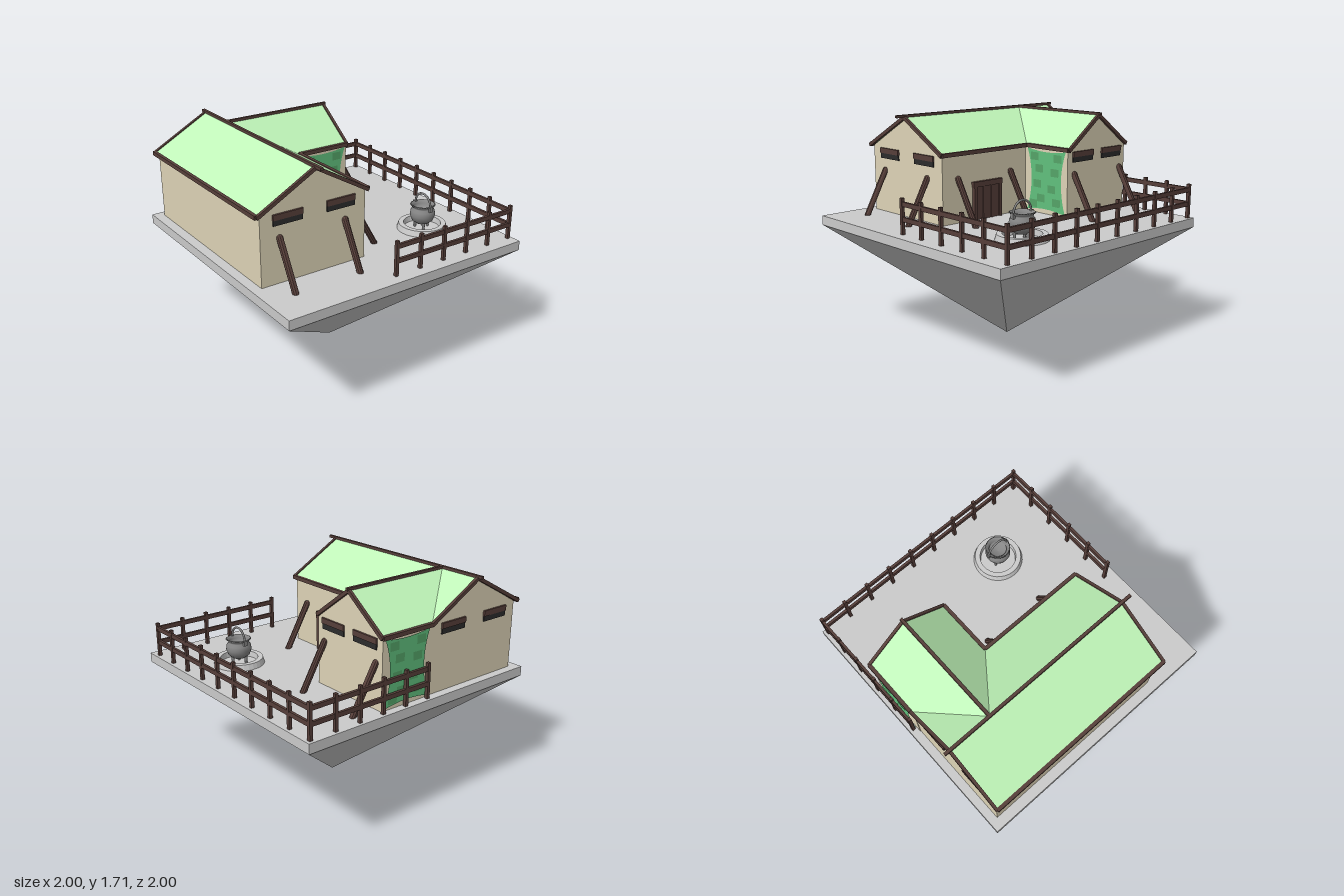
import * as THREE from 'three';

const mat = (color, double = false) => new THREE.MeshStandardMaterial({
  color, flatShading: true, side: double ? THREE.DoubleSide : THREE.FrontSide });
const stone = mat(0xcccccc), plaster = mat(0xded4b7), wood = mat(0x573f3a), dark = mat(0x2c2c2c);
const roofGreen = mat(0xbff5b8, true), cloth = mat(0x61c17e, true), patchGreen = mat(0x55a568, true);
const iron = new THREE.MeshStandardMaterial({ color: 0x878787, side: THREE.DoubleSide });

const GROUND = 0.93, EAVE = 1.445, RIDGE = 1.69;
const RX = -0.505, RZ = -0.615; // ridge lines of the main house and the wing
const V = (x, y, z) => new THREE.Vector3(x, y, z);

function add(parent, name, geometry, material, x = 0, y = 0, z = 0) {
  const mesh = new THREE.Mesh(geometry, material);
  mesh.name = name;
  mesh.position.set(x, y, z);
  parent.add(mesh);
  return mesh;
}
const box = (parent, name, m, w, h, d, x, y, z) => add(parent, name, new THREE.BoxGeometry(w, h, d), m, x, y, z);

// Square timber between two points
function beam(parent, name, a, b, w = 0.026, h = 0.03) {
  const mid = a.clone().add(b).multiplyScalar(0.5);
  const mesh = box(parent, name, wood, w, h, a.distanceTo(b), mid.x, mid.y, mid.z);
  mesh.lookAt(b);
}

function group(parent, name) {
  const g = new THREE.Group();
  g.name = name;
  parent.add(g);
  return g;
}

// Flat roof face from an outline of corners
function roofFace(parent, corners) {
  const index = [];
  for (let i = 1; i < corners.length - 1; i++) index.push(0, i, i + 1);
  const g = new THREE.BufferGeometry().setFromPoints(corners);
  g.setIndex(index);
  g.computeVertexNormals();
  add(parent, 'roofSlope', g, roofGreen);
}

// House body with a gable profile
function gableBody(left, right, peak, depth) {
  const s = new THREE.Shape();
  s.moveTo(left, GROUND);
  s.lineTo(right, GROUND);
  s.lineTo(right, 1.44);
  s.lineTo(peak, RIDGE - 0.015);
  s.lineTo(left, 1.44);
  return new THREE.ExtrudeGeometry(s, { depth, bevelEnabled: false });
}

function buildHouse(parent) {
  const house = group(parent, 'house');
  add(house, 'mainWalls', gableBody(-0.925, -0.09, RX, 1.485), plaster, 0, 0, -0.935);
  const wing = add(house, 'wingWalls', gableBody(0.285, 0.94, -RZ, 0.445), plaster, -0.09, 0, 0);
  wing.rotation.y = Math.PI / 2;

  // Roof slopes, joined along two valleys
  const roof = group(house, 'roof');
  const L = -0.955, R = -0.075, F = 0.565, B = -0.95, E = 0.365, WF = -0.285;
  const hub = V(RX, RIDGE, RZ), wingEnd = V(E, RIDGE, RZ);
  const valleyF = V(R, EAVE, WF), valleyB = V(R, EAVE, B);
  roofFace(roof, [V(L, EAVE, B), V(L, EAVE, F), V(RX, RIDGE, F), V(RX, RIDGE, B)]);
  roofFace(roof, [V(RX, RIDGE, F), V(R, EAVE, F), valleyF, hub]);
  roofFace(roof, [hub, valleyB, V(RX, RIDGE, B)]);
  roofFace(roof, [hub, valleyF, V(E, EAVE, WF), wingEnd]);
  roofFace(roof, [wingEnd, V(E, EAVE, B), valleyB, hub]);

  // Ridge beams, eaves and gable boards
  beam(roof, 'ridgeBeam', V(RX, 1.695, -0.99), V(RX, 1.695, 0.64), 0.022, 0.02);
  beam(roof, 'ridgeBeam', V(RX, 1.695, RZ), V(0.385, 1.695, RZ), 0.022, 0.02);
  const eaves = [[L, B, L, F], [R, F, R, WF], [R, WF, E, WF], [R, B, E, B]];
  for (const [x1, z1, x2, z2] of eaves) beam(roof, 'eaveBoard', V(x1, EAVE, z1), V(x2, EAVE, z2));
  for (const z of [F, B]) for (const x of [L, R])
    beam(roof, 'gableBoard', V(x, EAVE - 0.005, z), V(RX, RIDGE - 0.005, z), 0.022, 0.026);
  for (const z of [WF, B]) beam(roof, 'gableBoard', V(E, EAVE - 0.005, z), V(E, RIDGE - 0.005, RZ), 0.022, 0.026);

  // Slit windows with a wooden lintel
  const window = (x, z, turn) => {
    const w = group(house, 'window');
    box(w, 'opening', dark, 0.225, 0.04, 0.012, 0, 0, 0);
    box(w, 'lintel', wood, 0.23, 0.04, 0.024, 0, 0.04, 0);
    w.position.set(x, 1.37, z);
    w.rotation.y = turn;
  };
  for (const x of [-0.715, -0.295]) { window(x, 0.553, 0); window(x, -0.938, 0); }
  for (const z of [-0.45, -0.775]) window(0.358, z, Math.PI / 2);

  // Door in the courtyard wall
  const door = group(house, 'door');
  box(door, 'doorPanel', wood, 0.02, 0.28, 0.25, -0.085, 1.07, 0.13);
  box(door, 'doorLintel', wood, 0.035, 0.04, 0.285, -0.08, 1.2, 0.13);
  for (const z of [0.005, 0.255]) box(door, 'doorPost', wood, 0.035, 0.26, 0.025, -0.08, 1.06, z);
  for (const z of [0.09, 0.17]) box(door, 'doorBatten', wood, 0.026, 0.25, 0.012, -0.08, 1.055, z);
}

// Leaning round props against the walls
function buildProps(parent) {
  const prop = (foot, top) => {
    const dir = top.clone().sub(foot), mid = foot.clone().add(top).multiplyScalar(0.5);
    const m = add(parent, 'wallProp', new THREE.CapsuleGeometry(0.023, dir.length(), 4, 10), wood, mid.x, mid.y, mid.z);
    m.quaternion.setFromUnitVectors(V(0, 1, 0), dir.normalize());
  };
  for (const x of [-0.78, -0.26]) prop(V(x, 0.93, 0.735), V(x, 1.26, 0.555));
  for (const z of [-0.115, 0.41]) prop(V(0.11, 0.93, z), V(-0.08, 1.26, z));
  for (const z of [-0.88, -0.355]) prop(V(0.55, 0.93, z), V(0.36, 1.26, z));
}

// Pinched cloth hanging with darker woven patches
function buildCurtain(parent, z, side) {
  const curtain = group(parent, 'curtain');
  const s = new THREE.Shape();
  s.moveTo(-0.2, 0.945);
  s.quadraticCurveTo(0, 0.99, 0.2, 0.945);
  s.quadraticCurveTo(0.11, 1.2, 0.2, 1.43);
  s.quadraticCurveTo(0, 1.39, -0.2, 1.43);
  s.quadraticCurveTo(-0.11, 1.2, -0.2, 0.945);
  add(curtain, 'cloth', new THREE.ShapeGeometry(s, 10), cloth);
  const patches = [[-0.12, 1.37], [0.12, 1.37], [-0.07, 1.28], [0.09, 1.26], [-0.09, 1.16],
    [0.06, 1.13], [-0.05, 1.05], [0.11, 1.03], [-0.13, 1.0]];
  for (const [x, y] of patches)
    add(curtain, 'patch', new THREE.PlaneGeometry(0.08, 0.06), patchGreen, x, y, 0.003);
  curtain.position.set(0.14, 0, z);
  if (side < 0) curtain.rotation.y = Math.PI;
}

// Fence run with evenly spaced posts and two rails
function buildFence(parent, a, b, spans) {
  const fence = group(parent, 'fence');
  for (let i = 0; i <= spans; i++) {
    const p = a.clone().lerp(b, i / spans);
    box(fence, 'post', wood, 0.024, 0.26, 0.024, p.x, 1.06, p.z);
  }
  for (const y of [1.04, 1.148]) beam(fence, 'rail', a.clone().setY(y), b.clone().setY(y), 0.02, 0.033);
}

// Cooking pot standing in a stone ring
function buildCauldron(parent) {
  const pot = group(parent, 'cauldron');
  const lathe = (pts, n) => new THREE.LatheGeometry(pts.map(p => new THREE.Vector2(...p)), n);
  const ring = lathe([[0.19, 0], [0.178, 0.043], [0.14, 0.043], [0.135, 0]], 32);
  add(pot, 'fireRing', ring, mat(0xcccccc, true));
  add(pot, 'potBody', lathe([[0, 0.035], [0.05, 0.045], [0.08, 0.07], [0.095, 0.11], [0.09, 0.145], [0.075, 0.165],
    [0.078, 0.175], [0.095, 0.19], [0.085, 0.195], [0.066, 0.17], [0.07, 0.14], [0, 0.13]], 28), iron);
  const handle = add(pot, 'handle', new THREE.TorusGeometry(0.083, 0.008, 8, 24, Math.PI), iron, 0, 0.19, 0);
  handle.rotation.y = Math.PI / 2;
  for (const s of [-1, 1]) box(pot, 'handleLug', iron, 0.025, 0.04, 0.02, 0, 0.175, s * 0.088);
  for (let i = 0; i < 3; i++) {
    const t = i * Math.PI * 2 / 3;
    add(pot, 'potLeg', new THREE.CylinderGeometry(0.014, 0.009, 0.065, 8), iron,
      Math.cos(t) * 0.055, 0.0325, Math.sin(t) * 0.055);
  }
  pot.position.set(0.575, GROUND, 0.4);
}

export function createModel() {
  const model = new THREE.Group();
  model.name = 'floatingHomestead';

  // Slab on an inverted pyramid
  box(model, 'platform', stone, 2, 0.072, 2, 0, 0.894, 0);
  const pyramid = new THREE.CylinderGeometry(Math.SQRT2, 0, 0.858, 4, 1, true);
  pyramid.rotateY(Math.PI / 4);
  add(model, 'pyramidBase', pyramid, stone, 0, 0.429, 0);

  buildHouse(model);
  buildProps(model);
  buildCurtain(model, -0.279, 1);
  buildCurtain(model, -0.949, -1);
  buildFence(model, V(-0.09, 0, 0.91), V(0.965, 0, 0.91), 5);
  buildFence(model, V(0.965, 0, 0.91), V(0.965, 0, -0.965), 9);
  buildFence(model, V(-0.04, 0, -0.967), V(0.965, 0, -0.967), 5);
  buildCauldron(model);
  return model;
}
